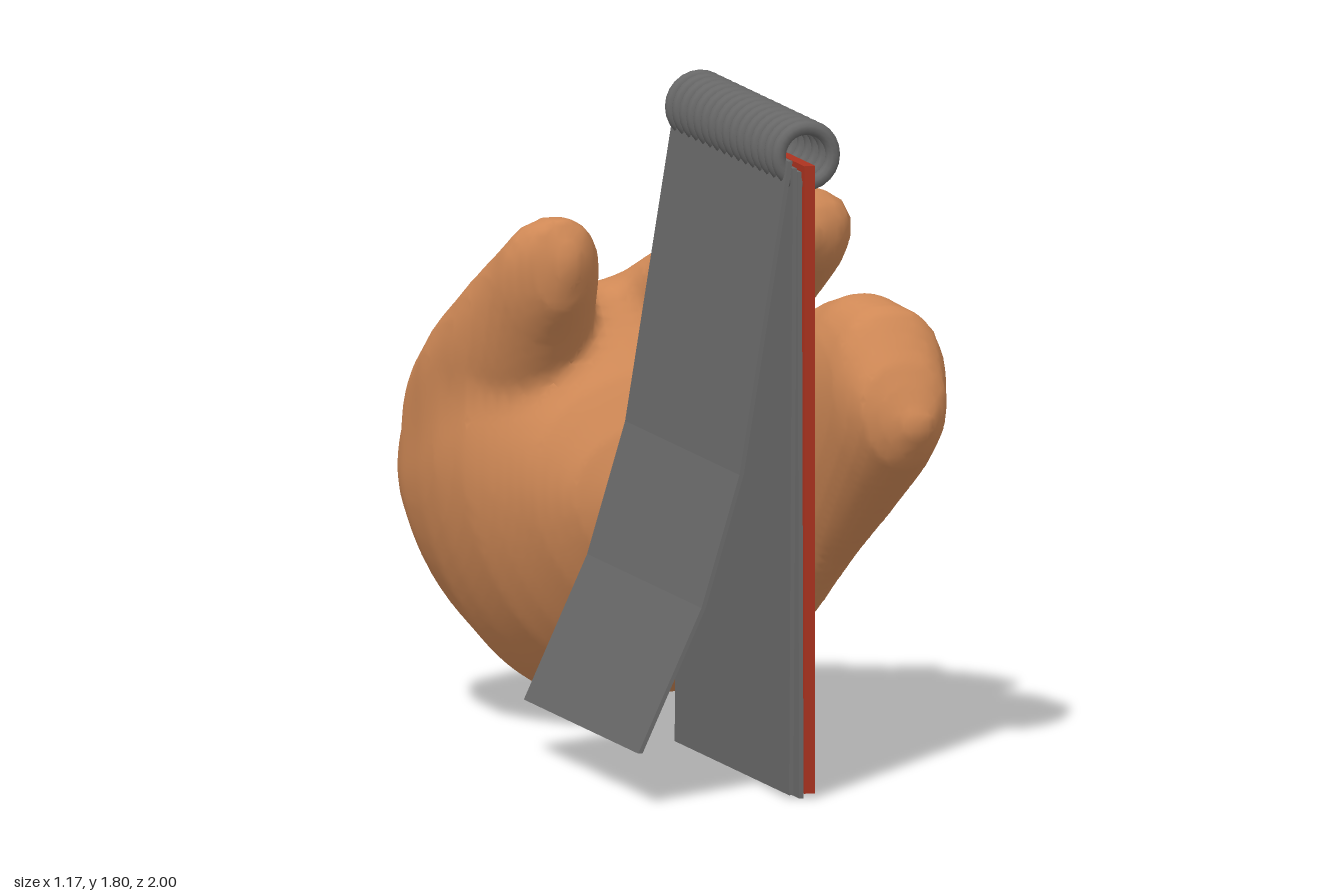
import * as THREE from 'three';

const mat = (name, color, side = THREE.FrontSide) => {
  const m = new THREE.MeshStandardMaterial({ color, side });
  m.name = name;
  return m;
};

// Hand parts. Sections: [z, xMin, xMax, yMin, yMax]; corners: roundness
// exponents of the section at lower right, upper right, lower left, upper left
const PARTS = {
  palm: {
    corners: [4, 2.5, 1.75, 2.2],
    rows: [
      [-1, -0.18, -0.05, 0.56, 0.7], [-0.97, -0.31, -0.02, 0.5, 0.76], [-0.91, -0.44, 0.03, 0.41, 0.84],
      [-0.8, -0.56, 0.12, 0.25, 0.94], [-0.67, -0.59, 0.21, 0.14, 1.04], [-0.5, -0.59, 0.29, 0.06, 1.14],
      [-0.4, -0.58, 0.34, 0.08, 1.18], [-0.28, -0.54, 0.37, 0.12, 1.17], [-0.2, -0.48, 0.38, 0.17, 1.08],
      [-0.1, -0.4, 0.38, 0.27, 0.98], [-0.03, -0.31, 0.36, 0.38, 0.87], [0.02, -0.18, 0.31, 0.48, 0.74],
    ],
  },
  upperFinger: {
    corners: [2.2, 2.2, 1.9, 2.2],
    rows: [
      [-0.9, -0.25, 0.0, 0.55, 0.82], [-0.6, -0.22, 0.23, 0.68, 1.07], [-0.4, -0.18, 0.32, 0.8, 1.22],
      [-0.2, -0.04, 0.36, 1.0, 1.36], [-0.1, 0.03, 0.38, 1.08, 1.41], [0, 0.08, 0.4, 1.14, 1.45],
      [0.14, 0.09, 0.4, 1.23, 1.5], [0.21, 0.11, 0.37, 1.28, 1.48], [0.25, 0.16, 0.28, 1.33, 1.42],
    ],
  },
  lowerFinger: {
    corners: [2, 2.3, 1.9, 2.2],
    rows: [
      [-0.88, -0.3, 0.02, 0.48, 0.78], [-0.65, -0.3, 0.21, 0.25, 0.95], [-0.4, -0.18, 0.35, 0.12, 0.98],
      [-0.2, 0.0, 0.44, 0.18, 0.99], [-0.1, 0.1, 0.48, 0.27, 1.03], [0, 0.18, 0.51, 0.39, 1.11],
      [0.1, 0.22, 0.53, 0.48, 1.18], [0.23, 0.24, 0.56, 0.58, 1.22], [0.4, 0.27, 0.58, 0.71, 1.2],
      [0.5, 0.32, 0.55, 0.79, 1.06], [0.545, 0.41, 0.5, 0.86, 0.95],
    ],
  },
  thumb: {
    corners: [1.9, 2.2, 1.9, 2.1],
    rows: [
      [-0.82, -0.5, -0.1, 0.5, 0.9], [-0.67, -0.58, -0.08, 0.55, 1.05], [-0.5, -0.59, -0.12, 0.62, 1.16],
      [-0.32, -0.56, -0.18, 0.75, 1.27], [-0.2, -0.52, -0.2, 0.9, 1.35], [-0.1, -0.49, -0.22, 1.07, 1.41],
      [-0.03, -0.43, -0.26, 1.16, 1.41], [0, -0.37, -0.3, 1.24, 1.35],
    ],
  },
};

// Signed distance, roughly, to one run of egg-shaped sections, widest above the middle
function sectionField({ rows, corners }, x, y, z) {
  const z0 = rows[0][0], z1 = rows[rows.length - 1][0];
  const zc = Math.min(Math.max(z, z0), z1);
  let i = 0;
  while (i < rows.length - 2 && zc > rows[i + 1][0]) i++;
  const a = rows[i], b = rows[i + 1], t = (zc - a[0]) / (b[0] - a[0]);
  const [, xa, xb, ya, yb] = a.map((v, k) => v + (b[k] - v) * t);
  const rx = (xb - xa) / 2, height = yb - ya;
  const dx = x - (xa + xb) / 2, dy = y - ya - height * 0.58;
  const u = Math.abs(dx) / rx;
  const v = Math.abs(dy) / (height * (dy < 0 ? 0.58 : 0.42));
  const p = corners[(dx < 0 ? 2 : 0) + (dy < 0 ? 0 : 1)];
  const d = (Math.pow(u ** p + v ** p, 1 / p) - 1) * Math.min(rx, height / 2);
  const out = Math.abs(z - zc);
  return out > 0 ? Math.hypot(Math.max(d, 0), out) : d;
}

function handField(x, y, z) {
  let f = 10;
  for (const part of Object.values(PARTS)) {
    const d = sectionField(part, x, y, z), k = 0.05;
    const h = Math.max(k - Math.abs(f - d), 0) / k;
    f = Math.min(f, d) - h * h * k / 4;
  }
  return f;
}

// One smooth skin over all hand sections (surface net on a regular grid)
function skinGeometry() {
  const s = 0.025, min = [-0.68, -0.02, -1.08], n = [56, 65, 69];
  const stride = [1, n[0], n[0] * n[1]];
  const val = new Float32Array(n[0] * n[1] * n[2]);
  const each = (lo, hi, fn) => {
    for (let k = lo; k < n[2] - hi; k++)
      for (let j = lo; j < n[1] - hi; j++)
        for (let i = lo; i < n[0] - hi; i++) fn([i, j, k], i + j * stride[1] + k * stride[2]);
  };
  each(0, 0, (p, id) => { val[id] = handField(...p.map((q, a) => min[a] + q * s)); });

  const pos = [], index = [], vert = new Int32Array(val.length).fill(-1);
  each(0, 1, (p, id) => {
    const sum = [0, 0, 0];
    let count = 0;
    for (let c = 0; c < 8; c++) {
      for (let a = 0; a < 3; a++) {
        if (c & (1 << a)) continue;
        const o = [c & 1, (c >> 1) & 1, (c >> 2) & 1];
        const q = id + o[0] + o[1] * stride[1] + o[2] * stride[2];
        const f0 = val[q], f1 = val[q + stride[a]];
        if ((f0 < 0) === (f1 < 0)) continue;
        o[a] += f0 / (f0 - f1);
        for (let m = 0; m < 3; m++) sum[m] += o[m];
        count++;
      }
    }
    if (!count) return;
    vert[id] = pos.length / 3;
    for (let m = 0; m < 3; m++) pos.push(min[m] + (p[m] + sum[m] / count) * s);
  });
  each(1, 1, (p, id) => {
    for (let a = 0; a < 3; a++) {
      if ((val[id] < 0) === (val[id + stride[a]] < 0)) continue;
      const b = stride[(a + 1) % 3], c = stride[(a + 2) % 3];
      const q = [id - b - c, id - c, id, id - b].map((m) => vert[m]);
      if (val[id] >= 0) q.reverse();
      index.push(q[0], q[1], q[2], q[0], q[2], q[3]);
    }
  });
  const g = new THREE.BufferGeometry();
  g.setAttribute('position', new THREE.Float32BufferAttribute(pos, 3));
  g.setIndex(index);
  g.computeVertexNormals();
  return g;
}

// Sheet that follows a side profile and runs the full pad width
function sheetGeometry(profile, thick) {
  const h = thick / 2;
  const pts = [
    ...profile.map(([x, y]) => new THREE.Vector2(x - h, y)),
    ...[...profile].reverse().map(([x, y]) => new THREE.Vector2(x + h, y)),
  ];
  return new THREE.ExtrudeGeometry(new THREE.Shape(pts), { depth: 1, bevelEnabled: false });
}

export function createModel() {
  const model = new THREE.Group();
  model.name = 'handHoldingNotepad';
  const skin = mat('skin', 0xd08956);
  const red = mat('coverRed', 0xac331f);
  const grey = mat('paperGrey', 0x6a6a6a, THREE.DoubleSide);
  const wire = mat('wireGrey', 0x686868);
  const add = (parent, name, geometry, material) => {
    const mesh = new THREE.Mesh(geometry, material);
    mesh.name = name;
    parent.add(mesh);
    return mesh;
  };

  // Hand
  add(model, 'hand', skinGeometry(), skin);

  // Notepad: cover, two hanging sheets and one lifted sheet
  const pad = new THREE.Group();
  pad.name = 'notepad';
  model.add(pad);
  add(pad, 'cover', sheetGeometry([[0.013, 1.685], [0.013, 0.012]], 0.03), red);
  add(pad, 'innerSheet', sheetGeometry([[-0.015, 1.67], [-0.01, 0]], 0.012), grey);
  add(pad, 'middleSheet', sheetGeometry([[-0.028, 1.68], [-0.038, 0.01]], 0.012), grey);
  add(pad, 'liftedSheet',
    sheetGeometry([[-0.04, 1.7], [-0.175, 0.87], [-0.28, 0.52], [-0.455, 0.14]], 0.012), grey);

  // Spiral binding rings
  const rings = new THREE.Group();
  rings.name = 'binding';
  pad.add(rings);
  const ring = new THREE.TorusGeometry(0.075, 0.02, 10, 24);
  for (let i = 0; i < 16; i++) {
    add(rings, 'ring', ring, wire).position.set(0.013, 1.708, 0.035 + i * 0.062);
  }
  return model;
}
